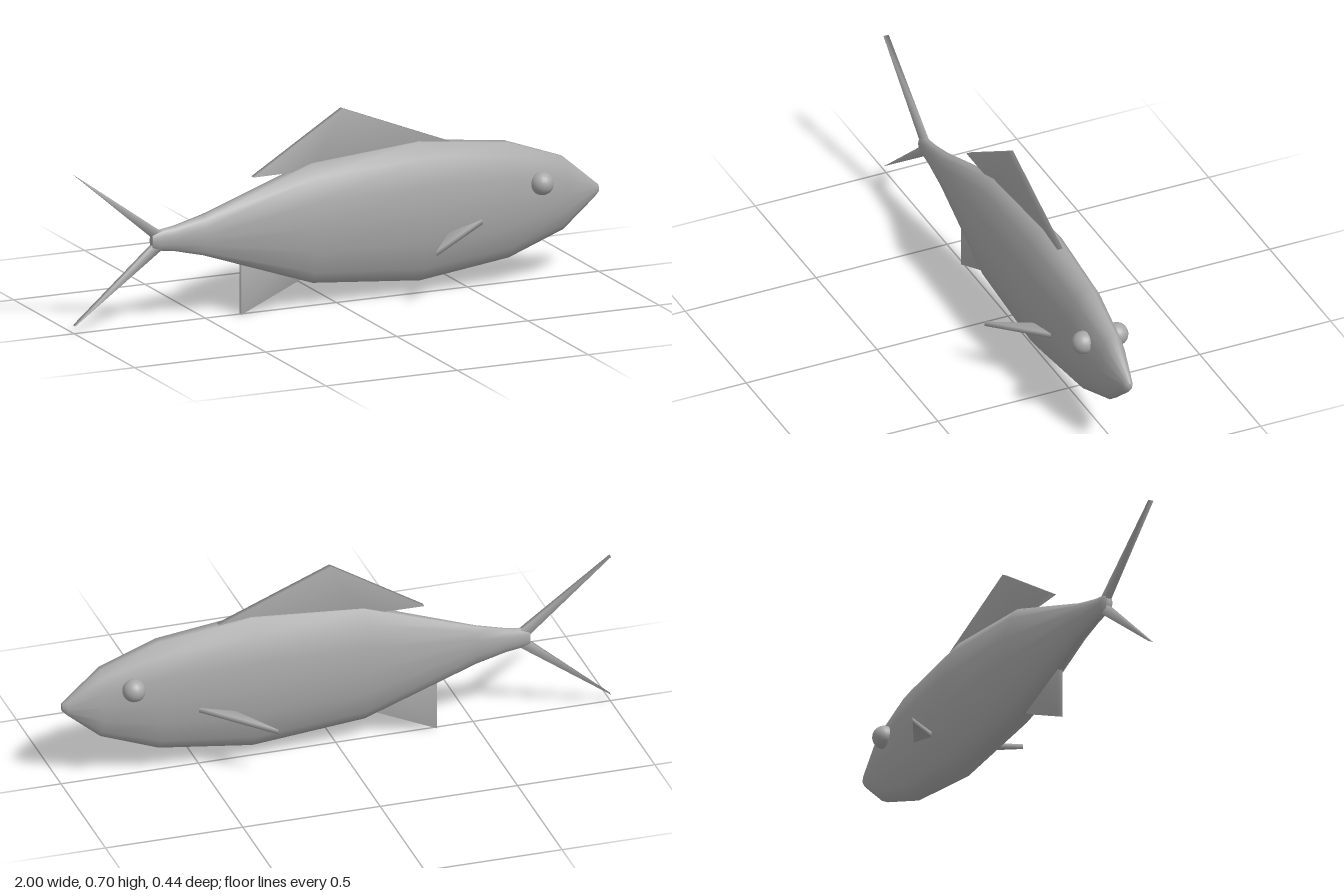
import * as THREE from 'three';

const skin = new THREE.MeshStandardMaterial({ color: 0xa8a8a8 });
skin.name = 'grey skin';

function smoothGeometry(positions, index) {
  const g = new THREE.BufferGeometry();
  g.setAttribute('position', new THREE.Float32BufferAttribute(positions, 3));
  g.setIndex(index);
  g.computeVertexNormals();
  return g;
}

// Thin plate: a convex outline thickened by +/- half, with softly shared normals
function plate(outline, half) {
  let pts = outline.map((p) => new THREE.Vector3(...p));
  const off = new THREE.Vector3(...half);
  const normal = pts[1].clone().sub(pts[0]).cross(pts[2].clone().sub(pts[0]));
  if (normal.dot(off) < 0) pts.reverse();
  const n = pts.length, pos = [], idx = [];
  for (const s of [1, -1]) for (const p of pts) pos.push(...p.clone().addScaledVector(off, s).toArray());
  for (let i = 1; i < n - 1; i++) idx.push(0, i, i + 1, n, n + i + 1, n + i);
  for (let i = 0; i < n; i++) {
    const j = (i + 1) % n;
    idx.push(i, n + i, j, j, n + i, n + j);
  }
  return smoothGeometry(pos, idx);
}

// Body lofted from tail to nose: [x, bottom, top, half width]
function bodyGeometry() {
  const stations = [
    [-0.705, 0.272, 0.328, 0.015], [-0.68, 0.265, 0.337, 0.018],
    [-0.62, 0.257, 0.346, 0.022], [-0.51, 0.23, 0.374, 0.031],
    [-0.10, 0.088, 0.515, 0.08], [0.31, 0.052, 0.548, 0.092],
    [0.65, 0.095, 0.507, 0.076], [0.86, 0.172, 0.432, 0.052],
    [0.98, 0.27, 0.33, 0.02], [0.997, 0.287, 0.315, 0.011],
  ];
  const side = [[0.22, 1], [0.63, 0.8], [0.9, 0.42], [1, 0], [0.9, -0.42], [0.63, -0.8], [0.22, -1]];
  const ring = [...side, ...side.map(([z, y]) => [-z, y]).reverse()];
  const n = ring.length, pos = [], idx = [];
  for (const [x, lo, hi, w] of stations)
    for (const [z, y] of ring) pos.push(x, (lo + hi) / 2 + (y * (hi - lo)) / 2, z * w);
  const last = (stations.length - 1) * n;
  for (let i = 0; i < last; i += n)
    for (let k = 0; k < n; k++) {
      const a = i + k, b = i + ((k + 1) % n);
      idx.push(a, b, a + n, b, b + n, a + n);
    }
  for (let k = 1; k < n - 1; k++) idx.push(0, k + 1, k, last, last + k, last + k + 1);
  return smoothGeometry(pos, idx);
}

export function createModel() {
  const fish = new THREE.Group();
  fish.name = 'fish';
  const add = (name, geometry) => {
    const m = new THREE.Mesh(geometry, skin);
    m.name = name;
    fish.add(m);
    return m;
  };

  add('body', bodyGeometry());

  // Fins on the centre line
  const flat = [0, 0, 0.01];
  add('dorsalFin', plate([[-0.32, 0.488, 0], [0.02, 0.697, 0], [0.43, 0.533, 0], [-0.1, 0.49, 0]], flat));
  add('analFin', plate([[-0.365, 0.002, 0], [-0.13, 0.107, 0], [-0.2, 0.2, 0], [-0.365, 0.2, 0]], flat));
  add('upperTailFin', plate([[-1, 0.57, 0], [-0.67, 0.333, 0], [-0.70, 0.31, 0]], flat));
  add('lowerTailFin', plate([[-1, 0.03, 0], [-0.67, 0.268, 0], [-0.70, 0.29, 0]], flat));

  // Mirrored pectoral fins and eyes
  for (const [s, label] of [[1, 'front'], [-1, 'back']]) {
    add(label + 'PectoralFin', plate(
      [[0.535, 0.255, s * 0.07], [0.40, 0.222, s * 0.07], [0.28, 0.198, s * 0.22]], [0, 0.009, 0]));
    add(label + 'Eye', new THREE.SphereGeometry(0.041, 20, 14)).position.set(0.755, 0.36, s * 0.064);
  }
  return fish;
}
